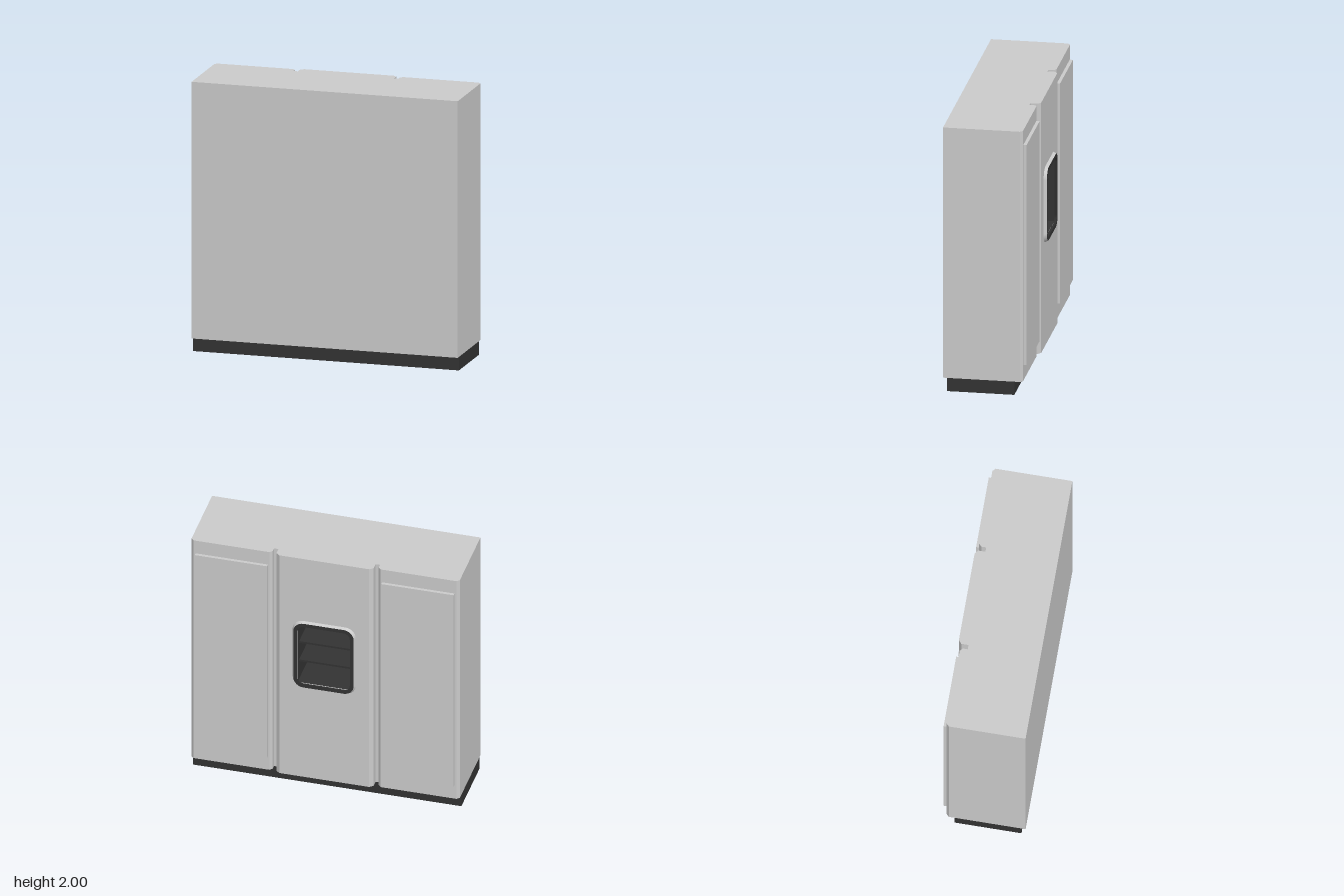
import * as THREE from 'three';

const grey = new THREE.MeshStandardMaterial({ color: 0xcccccc });
const dark = new THREE.MeshStandardMaterial({ color: 0x333333 });

const NICHE = { x: 0.2, y0: 0.92, y1: 1.425, back: 0.0 };
const FRAME_Y = (NICHE.y0 + NICHE.y1) / 2;

function add(group, name, geometry, material) {
  const mesh = new THREE.Mesh(geometry, material);
  mesh.name = name;
  group.add(mesh);
  return mesh;
}

// Box given by its limits on each axis
function box(x0, x1, y0, y1, z0, z1) {
  return new THREE.BoxGeometry(x1 - x0, y1 - y0, z1 - z0)
    .translate((x0 + x1) / 2, (y0 + y1) / 2, (z0 + z1) / 2);
}

// Cabinet footprint with two door grooves, extruded from y0 to y1
function bodyLayer(y0, y1, notched) {
  const half = [
    [0.335, -0.29], [0.362, -0.268], [0.362, -0.215], [0.395, -0.215],
    [0.395, -0.25], [0.415, -0.27], [0.98, -0.27], [1, -0.25], [1, 0.31],
  ];
  if (notched) half.unshift([NICHE.x, NICHE.back], [NICHE.x, -0.29]);
  const mirrored = half.map(([x, z]) => [-x, z]).reverse();
  const outline = [...half, ...mirrored].map(([x, z]) => new THREE.Vector2(x, -z));
  return new THREE.ExtrudeGeometry(new THREE.Shape(outline), { depth: y1 - y0, bevelEnabled: false })
    .rotateX(-Math.PI / 2).translate(0, y0, 0);
}

function roundedRect(target, w, h, r) {
  target.moveTo(w, h - r);
  target.absarc(w - r, h - r, r, 0, Math.PI / 2);
  target.absarc(r - w, h - r, r, Math.PI / 2, Math.PI);
  target.absarc(r - w, r - h, r, Math.PI, Math.PI * 1.5);
  target.absarc(w - r, r - h, r, Math.PI * 1.5, Math.PI * 2);
  target.closePath();
  return target;
}

// Rounded ring on the back face, narrowing slightly as it rises
function ring(outer, inner, depth) {
  const shape = roundedRect(new THREE.Shape(), ...outer);
  shape.holes.push(roundedRect(new THREE.Path(), ...inner));
  const g = new THREE.ExtrudeGeometry(shape, { depth, bevelEnabled: false, curveSegments: 8 });
  const p = g.attributes.position;
  for (let i = 0; i < p.count; i++) {
    if (p.getZ(i) < depth / 2) continue;
    p.setX(i, p.getX(i) * 0.957);
    p.setY(i, p.getY(i) * 0.966);
  }
  g.computeVertexNormals();
  return g.rotateY(Math.PI).translate(0, FRAME_Y, -0.29);
}

export function createModel() {
  const group = new THREE.Group();
  group.name = 'cabinet';

  // Plinth
  add(group, 'plinth', box(-1, 1, 0, 0.1, -0.21, 0.28), dark);

  // Body, stacked around the niche opening
  add(group, 'bodyLower', bodyLayer(0.1, NICHE.y0, false), grey);
  add(group, 'bodyMiddle', bodyLayer(NICHE.y0, NICHE.y1, true), grey);
  add(group, 'bodyUpper', bodyLayer(NICHE.y1, 2, false), grey);

  // Raised panels on the two side doors
  for (const side of [-1, 1]) {
    const panel = box(-0.27, 0.27, 0.22, 1.89, -0.294, -0.265).translate(side * 0.695, 0, 0);
    add(group, side > 0 ? 'leftDoorPanel' : 'rightDoorPanel', panel, grey);
  }

  // Niche lining: an inward-facing box without its open side
  const e = 0.002;
  const lining = box(-NICHE.x + e, NICHE.x - e, NICHE.y0 + e, NICHE.y1 - e, -0.292, NICHE.back - e);
  lining.setIndex(Array.from(lining.index.array).slice(0, 30));
  lining.clearGroups();
  const liningMaterial = dark.clone();
  liningMaterial.side = THREE.DoubleSide;
  add(group, 'nicheLining', lining, liningMaterial);

  // Shelves
  for (const y of [1.09, 1.25]) {
    add(group, 'shelf', box(-NICHE.x + e, NICHE.x - e, y - 0.015, y, -0.25, NICHE.back - e), dark);
  }

  // Niche frame: pale outer wall, dark face and inner rim
  add(group, 'nicheFrame', ring([0.235, 0.2875, 0.08], [0.225, 0.2775, 0.07], 0.022), [dark, grey]);
  add(group, 'nicheRim', ring([0.225, 0.2775, 0.07], [0.205, 0.2575, 0.05], 0.022), dark);

  return group;
}
